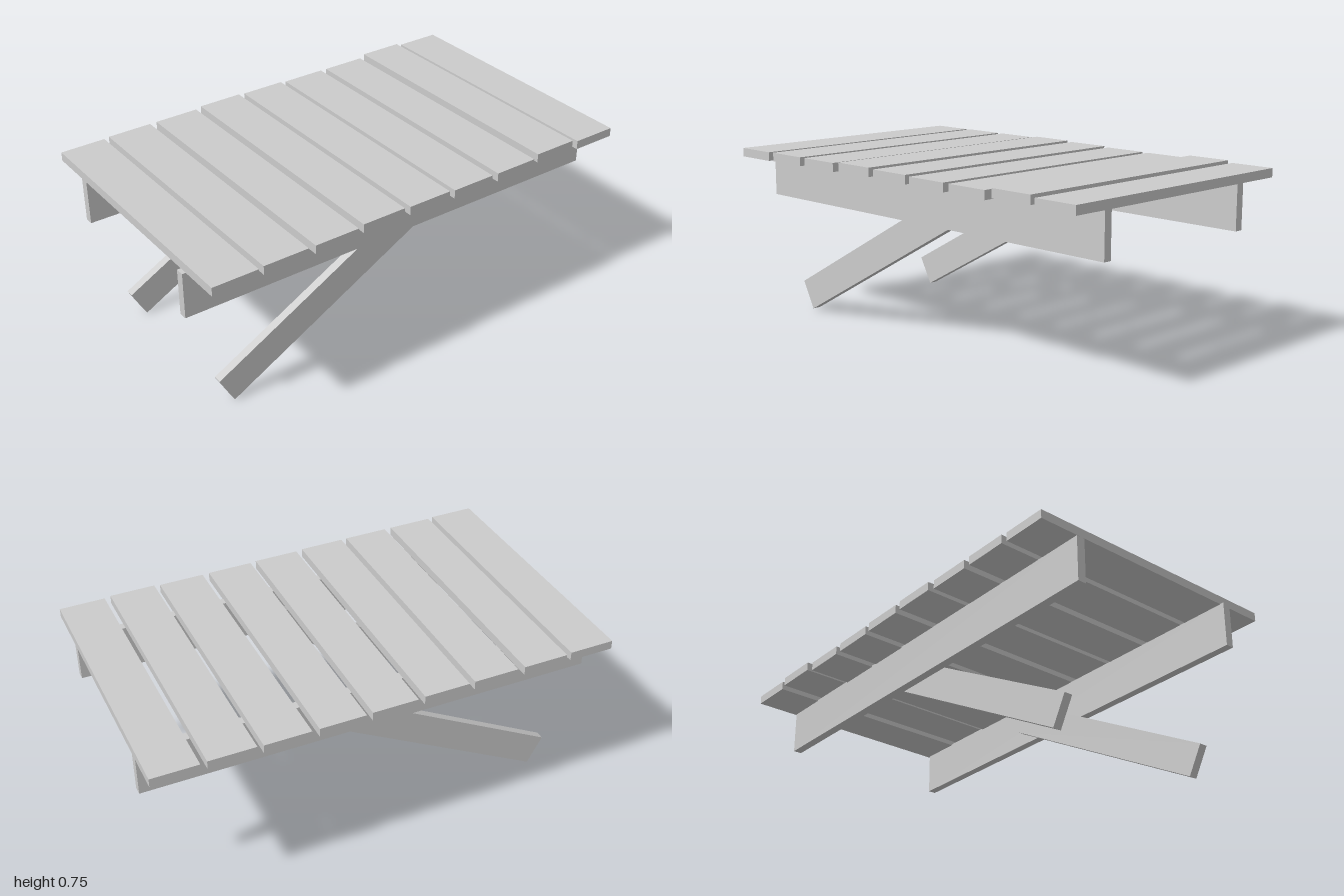
import * as THREE from 'three';

const material = new THREE.MeshStandardMaterial({ color: 0xcccccc, flatShading: true });

function board(name, size, position, tilt = 0) {
  const mesh = new THREE.Mesh(new THREE.BoxGeometry(...size), material);
  mesh.name = name;
  mesh.position.set(...position);
  mesh.rotation.x = tilt;
  return mesh;
}

export function createModel() {
  const group = new THREE.Group();
  group.name = 'slattedPlatform';

  // Nine loosely laid planks, back to front: [centre x, centre y, centre z]
  const planks = [
    [-0.009, 0.731, -0.902], [-0.013, 0.739, -0.681], [-0.005, 0.729, -0.457],
    [-0.005, 0.73, -0.231], [-0.006, 0.734, -0.01], [-0.006, 0.738, 0.214],
    [0.001, 0.734, 0.438], [0.001, 0.734, 0.665], [0.007, 0.734, 0.885],
  ];
  planks.forEach((p, i) => group.add(board(`plank${i + 1}`, [1.186, 0.038, 0.196], p)));

  // Two long beams under the planks
  group.add(board('leftBeam', [0.036, 0.196, 1.988], [0.401, 0.618, 0.005]));
  group.add(board('rightBeam', [0.038, 0.196, 1.976], [-0.39, 0.618, -0.006]));

  // Slanted legs fixed to the inner faces of the beams
  const legSize = [0.037, 0.136, 1.18];
  group.add(board('leftLeg', legSize, [0.365, 0.35, 0.303], 0.499));
  group.add(board('rightLeg', legSize, [-0.354, 0.347, 0.303], 0.499));

  return group;
}
